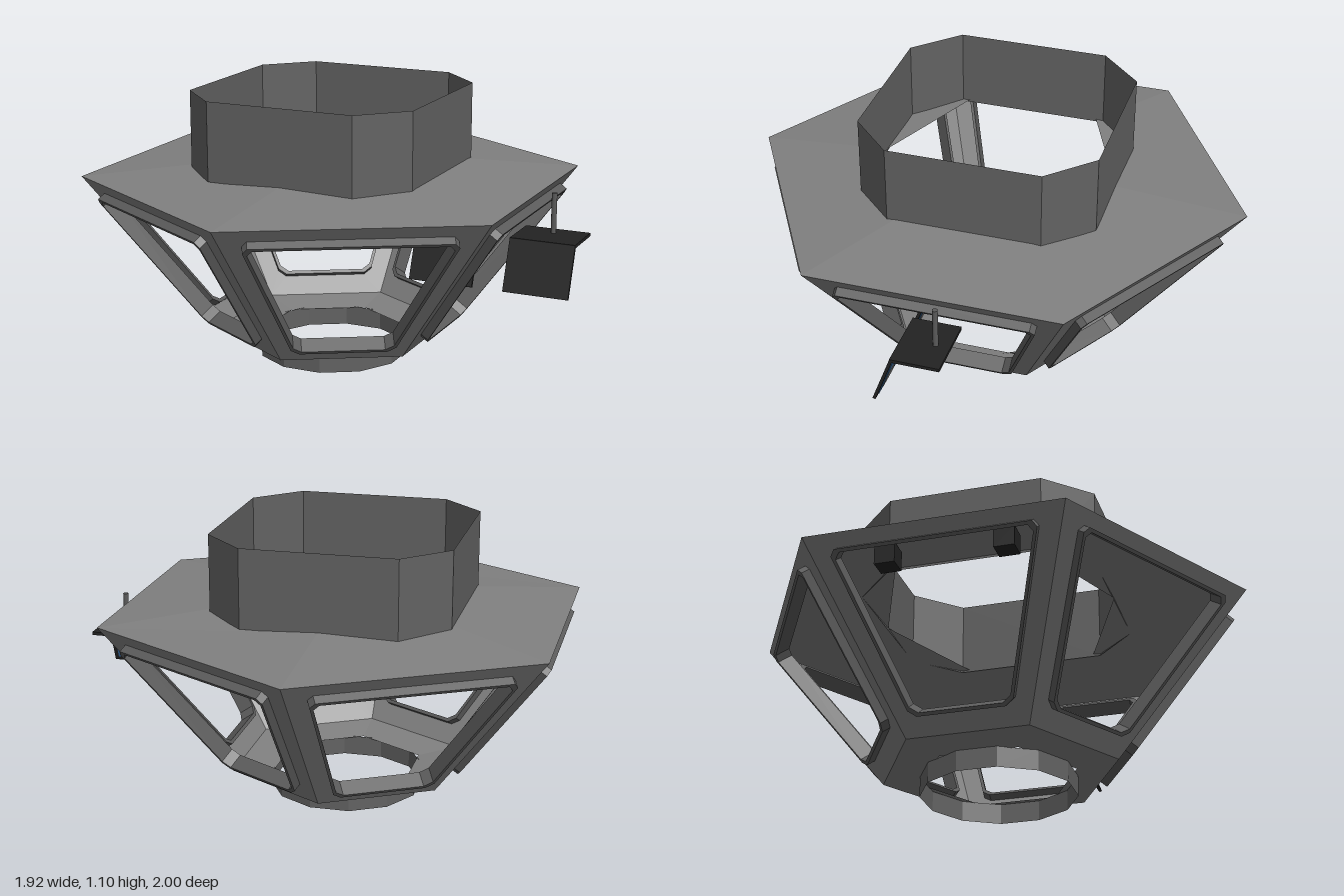
import * as THREE from 'three';

const mat = (name, color, double) => {
  const m = new THREE.MeshStandardMaterial({ color });
  m.name = name;
  if (double) m.side = THREE.DoubleSide;
  return m;
};

// Ring of points, starting at +z and turning towards +x
const ring = (n, r, y, start = 0) => Array.from({ length: n }, (_, i) => {
  const a = start + (i / n) * Math.PI * 2;
  return [r * Math.sin(a), y, r * Math.cos(a)];
});

// Flat-shaded strip between a lower and an upper ring
function loft(lower, upper) {
  const p = [], n = lower.length;
  for (let i = 0; i < n; i++) {
    const j = (i + 1) % n;
    p.push(...lower[i], ...lower[j], ...upper[j], ...lower[i], ...upper[j], ...upper[i]);
  }
  const g = new THREE.BufferGeometry();
  g.setAttribute('position', new THREE.Float32BufferAttribute(p, 3));
  g.computeVertexNormals();
  return g;
}

// Trapezoid with cut corners; c is the size of the cut
function trapezoid(Type, y0, w0, y1, w1, c) {
  const s = new Type(), k = (w1 - w0) / (y1 - y0);
  const pts = [[w0 - c, y0], [w0 + k * c, y0 + c], [w1 - k * c, y1 - c], [w1 - c, y1]];
  const all = [...pts, ...pts.map(([x, y]) => [-x, y]).reverse()];
  s.setFromPoints(all.map(([x, y]) => new THREE.Vector2(x, y)));
  return s;
}

export function createModel() {
  const root = new THREE.Group();
  const body = new THREE.Group();
  body.name = 'cupola';
  body.position.x = -0.09;
  root.add(body);

  const hullGrey = mat('hullGrey', 0x808080, true);
  const collarGrey = mat('collarGrey', 0x626262, true);
  const frameGrey = mat('frameGrey', 0x5c5c5c);
  const black = mat('black', 0x222222);
  const blue = mat('screenBlue', 0x3a6ea5);
  const grey = mat('screenGrey', 0x808080);

  const add = (parent, name, geo, m, x = 0, y = 0, z = 0) => {
    const mesh = new THREE.Mesh(geo, m);
    mesh.name = name;
    mesh.position.set(x, y, z);
    parent.add(mesh);
    return mesh;
  };

  // Six sloping walls, each with a window opening and a raised frame
  const y0 = 0.1, y1 = 0.75, r0 = 0.475, r1 = 1;
  const out = (r1 - r0) * Math.cos(Math.PI / 6);
  const slope = Math.hypot(out, y1 - y0);
  const wall = new THREE.Shape([
    [-r0 / 2, 0], [r0 / 2, 0], [r1 / 2, slope], [-r1 / 2, slope],
  ].map(([x, y]) => new THREE.Vector2(x, y)));
  wall.holes.push(trapezoid(THREE.Path, 0.085, 0.195, 0.735, 0.398, 0.025));
  const wallGeo = new THREE.ShapeGeometry(wall);

  const frame = trapezoid(THREE.Shape, 0.085, 0.195, 0.735, 0.398, 0.025);
  frame.holes.push(trapezoid(THREE.Path, 0.099, 0.186, 0.721, 0.381, 0.025));
  const frameGeo = new THREE.ExtrudeGeometry(frame, { depth: 0.065, bevelEnabled: false });

  for (let i = 0; i < 6; i++) {
    const side = new THREE.Group();
    side.name = 'windowSide';
    side.rotation.y = Math.PI / 6 + i * Math.PI / 3;
    const tilt = new THREE.Group();
    tilt.position.set(0, y0, r0 * Math.cos(Math.PI / 6));
    tilt.rotation.x = Math.atan2(out, y1 - y0);
    add(tilt, 'wall', wallGeo, hullGrey);
    add(tilt, 'windowFrame', frameGeo, frameGrey, 0, 0, -0.03);
    side.add(tilt);
    body.add(side);
  }

  // Roof, rising to its opening
  const opening = [[0, 0.475], [0.475, 0.275], [0.475, -0.275],
    [0, -0.475], [-0.475, -0.275], [-0.475, 0.275]].map(([x, z]) => [x, 0.79, z]);
  add(body, 'roof', loft(ring(6, r1, y1), opening), hullGrey);

  // Floor with a hexagonal hole, and the ring below it
  add(body, 'floor', loft(ring(6, 0.31, 0.08), ring(6, r0, y0)), hullGrey);
  add(body, 'baseRing', loft(ring(12, 0.306, 0, Math.PI / 12), ring(12, 0.306, 0.082, Math.PI / 12)), collarGrey);

  // Collar: a square tube with cut corners
  const a = 0.475, b = 0.305;
  const collar = y => [[-b, a], [b, a], [a, b], [a, -b], [b, -a], [-b, -a], [-a, -b], [-a, b]]
    .map(([x, z]) => [x, y, z]);
  add(body, 'collar', loft(collar(0.78), collar(1.095)), collarGrey);

  // Small boxes under the roof
  for (const z of [-0.23, 0.23]) {
    add(root, 'roofBox', new THREE.BoxGeometry(0.08, 0.08, 0.08), black, -0.77, 0.72, z);
  }

  // Hanging displays: pole, shelf and tilted screen facing back
  for (const [x, top] of [[0.445, 0.78], [0.83, 0.75]]) {
    const display = new THREE.Group();
    display.name = 'display';
    display.position.x = x;
    add(display, 'pole', new THREE.CylinderGeometry(0.011, 0.011, top - 0.585, 8), frameGrey,
      0, (top + 0.585) / 2, -0.038);
    add(display, 'shelf', new THREE.BoxGeometry(0.26, 0.013, 0.19), black, 0, 0.585, 0);
    const panel = new THREE.Group();
    panel.name = 'screen';
    panel.position.set(0, 0.49, 0.125);
    panel.rotation.x = -0.353;
    add(panel, 'screenBack', new THREE.BoxGeometry(0.26, 0.205, 0.012), black);
    add(panel, 'screenFace', new THREE.BoxGeometry(0.225, 0.17, 0.004), blue, 0, 0, -0.007);
    add(panel, 'screenWindow', new THREE.BoxGeometry(0.095, 0.075, 0.004), grey, 0.045, -0.03, -0.009);
    display.add(panel);
    root.add(display);
  }
  return root;
}
